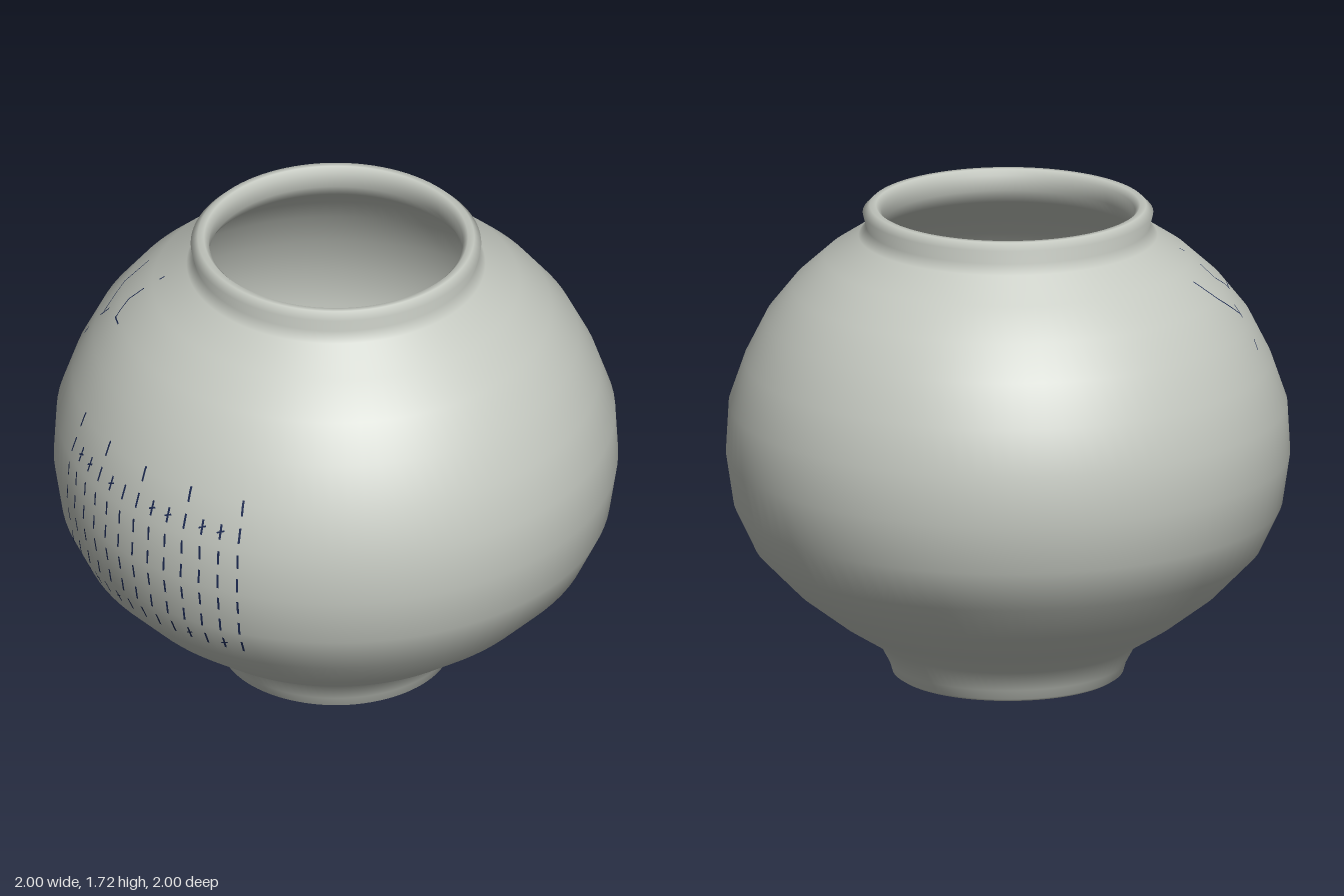
import * as THREE from 'three';

const glaze = new THREE.MeshStandardMaterial({ color: 0xc4c8c0 });
glaze.name = 'pale grey glaze';
const ink = new THREE.MeshStandardMaterial({ color: 0x1c2a52, side: THREE.DoubleSide });
ink.name = 'navy ink';

// Outer wall as [radius, height], from foot to neck
const WALL = [
  [0.41, 0.01], [0.42, 0.045], [0.46, 0.12], [0.61, 0.215], [0.76, 0.33], [0.9, 0.475], [0.973, 0.63],
  [1, 0.81], [0.99, 0.99], [0.935, 1.15], [0.86, 1.3], [0.765, 1.42], [0.65, 1.525], [0.53, 1.605],
];
const LIP = [[0.503, 1.64], [0.515, 1.69], [0.49, 1.715], [0.468, 1.715], [0.45, 1.695], [0.45, 1.64]];

// Wall radius at a height
function radiusAt(y) {
  for (let i = 1; i < WALL.length; i++) {
    const [r0, y0] = WALL[i - 1], [r1, y1] = WALL[i];
    if (y <= y1) return r0 + (r1 - r0) * (y - y0) / (y1 - y0);
  }
  return WALL[WALL.length - 1][0];
}

// Point on the front of the wall, lifted slightly off the surface
function onWall(x, y) {
  const r = radiusAt(y);
  const slope = (radiusAt(y + 0.02) - radiusAt(y - 0.02)) / 0.04;
  const z = Math.sqrt(r * r - x * x);
  const normal = new THREE.Vector3(x / r, -slope, z / r).normalize();
  return { normal, position: new THREE.Vector3(x, y, z).addScaledVector(normal, 0.004) };
}

// Brush stroke: a thin ribbon lying on the wall through [x, y] points
function stroke(name, points, width = 0.008) {
  const path = [];
  points.forEach(([x, y], i) => {
    if (i === 0) return path.push(onWall(x, y));
    const [px, py] = points[i - 1];
    for (let k = 1; k <= 4; k++) path.push(onWall(px + (x - px) * k / 4, py + (y - py) * k / 4));
  });
  const positions = [], normals = [], index = [];
  path.forEach((p, i) => {
    const a = path[Math.max(i - 1, 0)].position, b = path[Math.min(i + 1, path.length - 1)].position;
    const side = b.clone().sub(a).cross(p.normal).setLength(width / 2);
    for (const s of [-1, 1]) {
      positions.push(...p.position.clone().addScaledVector(side, s).toArray());
      normals.push(...p.normal.toArray());
    }
    if (i > 0) {
      const n = i * 2;
      index.push(n - 2, n - 1, n, n - 1, n + 1, n);
    }
  });
  const geometry = new THREE.BufferGeometry();
  geometry.setAttribute('position', new THREE.Float32BufferAttribute(positions, 3));
  geometry.setAttribute('normal', new THREE.Float32BufferAttribute(normals, 3));
  geometry.setIndex(index);
  const mesh = new THREE.Mesh(geometry, ink);
  mesh.name = name;
  return mesh;
}

export function createModel() {
  const model = new THREE.Group();
  model.name = 'jar';

  // Hollow body: base, outer wall, rolled lip, inner wall and floor
  const inner = WALL.slice(3).reverse().map(([r, y]) => [r - 0.05, y > 0.81 ? y - 0.015 : y + 0.015]);
  const profile = [[0, 0], [0.395, 0], ...WALL, ...LIP, ...inner, [0.42, 0.17], [0, 0.15]];
  const body = new THREE.Mesh(
    new THREE.LatheGeometry(profile.map(([r, y]) => new THREE.Vector2(r, y)), 96), glaze);
  body.name = 'body';
  model.add(body);

  // Grid of painted dashes on the front
  const grid = new THREE.Group();
  grid.name = 'dashGrid';
  const crossed = { 0: [-5, -4, -2, 3, 5], 5: [-5, -4, -2, 1, 2, 4, 5] };
  for (let column = -6; column <= 6; column++) {
    const sin = Math.sin(column * 0.0745);
    const at = (y, dx = 0) => [radiusAt(y) * sin + dx, y];
    for (let row = 0; row < 7; row++) {
      if (row === 6 && column % 3 !== 0) continue;
      const y = 0.56 + row * 0.096;
      grid.add(stroke('dash', [at(y - 0.027), at(y + 0.027)]));
      if (crossed[row]?.includes(column)) {
        grid.add(stroke('crossTick', [at(y - 0.006, -0.013), at(y + 0.006, 0.013)], 0.006));
      }
    }
  }
  model.add(grid);

  // Loose brush marks on the right shoulder
  const marks = new THREE.Group();
  marks.name = 'shoulderMarks';
  for (const points of [
    [[-0.598, 1.49], [-0.638, 1.42], [-0.63, 1.345]],
    [[-0.64, 1.33], [-0.602, 1.372]],
    [[-0.715, 1.225], [-0.69, 1.26]],
    [[-0.467, 1.5], [-0.51, 1.45], [-0.508, 1.4]],
    [[-0.515, 1.402], [-0.465, 1.408]],
    [[-0.422, 1.543], [-0.41, 1.555]],
  ]) marks.add(stroke('brushMark', points, 0.006));
  model.add(marks);

  return model;
}
